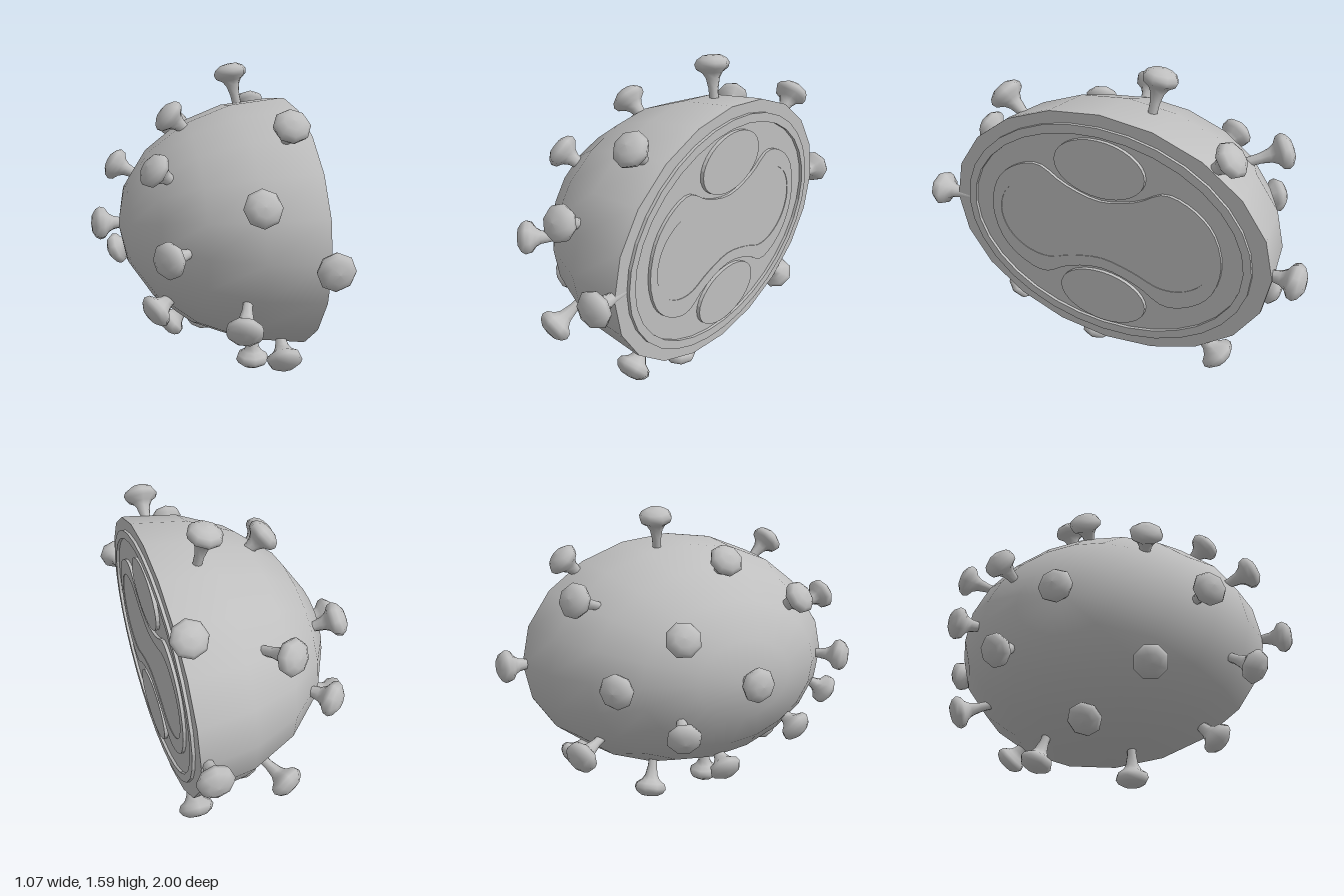
import * as THREE from 'three';

const CY = 0.8, CZ = -0.005, FACE = 0.445;

export function createModel() {
  const group = new THREE.Group();
  const grey = new THREE.MeshStandardMaterial({ color: 0xbfbfbf });
  grey.name = 'grey';
  const add = (geometry, name) => {
    const mesh = new THREE.Mesh(geometry, grey);
    mesh.name = name;
    group.add(mesh);
    return mesh;
  };

  // Half ellipsoid shell with its pole towards -x, closed by a thin rim plate
  const shell = new THREE.SphereGeometry(1, 20, 5, 0, Math.PI * 2, 0, Math.PI / 2);
  shell.rotateZ(Math.PI / 2).scale(0.845, 0.63, 0.85).translate(FACE, CY, CZ);
  add(shell, 'shell');
  const rim = new THREE.CylinderGeometry(1, 1, 0.02, 20);
  rim.rotateZ(Math.PI / 2).scale(1, 0.63, 0.85).translate(FACE + 0.01, CY, CZ);
  add(rim, 'cutFace');

  // Raised plates on the cut face, drawn in (z, y) and extruded along x
  const plate = (shape, height, name, y = CY) => {
    const g = new THREE.ExtrudeGeometry(shape, { depth: height, bevelEnabled: false, curveSegments: 16 });
    g.rotateY(Math.PI / 2).translate(FACE + 0.02, y, 0);
    return add(g, name);
  };
  const ellipse = (rz, ry, n = 32) => Array.from({ length: n }, (_, i) => {
    const a = (i / n) * Math.PI * 2;
    return new THREE.Vector2(rz * Math.cos(a), ry * Math.sin(a));
  });
  // Mirrors a quarter outline into a smooth closed two-lobed loop
  const lobes = (quarter) => {
    const q = quarter.map(([z, y]) => new THREE.Vector2(z, y));
    const half = [...q, ...q.slice(0, -1).reverse().map((p) => new THREE.Vector2(-p.x, p.y))];
    const loop = [...half, ...half.slice(1, -1).reverse().map((p) => new THREE.Vector2(p.x, -p.y))];
    const curve = new THREE.CatmullRomCurve3(loop.map((p) => new THREE.Vector3(p.x, p.y, 0)), true);
    return curve.getPoints(64).slice(0, -1).map((p) => new THREE.Vector2(p.x, p.y));
  };
  const framed = (outer, inner) => {
    const s = new THREE.Shape(outer);
    s.holes.push(new THREE.Path(inner));
    return s;
  };

  plate(framed(ellipse(0.765, 0.57), ellipse(0.725, 0.525)), 0.015, 'membraneRing');
  const coreOuter = lobes([[0.62, 0], [0.575, 0.17], [0.47, 0.27], [0.335, 0.31], [0.19, 0.235], [0, 0.19]]);
  const coreInner = lobes([[0.57, 0], [0.53, 0.12], [0.43, 0.195], [0.31, 0.213], [0.17, 0.165], [0, 0.132]]);
  plate(framed(coreOuter, coreInner), 0.015, 'coreWall');
  plate(new THREE.Shape(coreInner), 0.012, 'core');
  for (const s of [1, -1]) plate(new THREE.Shape(ellipse(0.237, 0.148)), 0.018, 'lateralBody', CY + s * 0.36);

  // Mushroom-headed spikes: head centre, then outward direction
  const profile = [[0.022, -0.22], [0.025, -0.12], [0.035, -0.07], [0.05, -0.045], [0.08, -0.025],
    [0.088, 0], [0.075, 0.022], [0.045, 0.04], [0, 0.045]];
  const spikeGeo = new THREE.LatheGeometry(profile.map(([r, y]) => new THREE.Vector2(r, y)), 8);
  const spikes = [
    [0.22, 1.55, -0.19, -0.03, 0.14, -0.02],
    [-0.14, 1.355, 0.02, -0.11, 0.09, 0],
    [0.34, 1.375, 0.58, 0, 0.1, 0.11],
    [0.43, 1.335, -0.625, 0, 0.1, -0.11],
    [-0.26, 1.155, 0.385, -0.09, 0.065, 0.035],
    [-0.385, 1.045, -0.355, -0.095, 0.045, -0.035],
    [-0.495, 0.805, -0.01, -1, 0, 0],
    [-0.235, 0.805, 0.68, -0.1, 0, 0.085],
    [0.15, 1.065, 0.835, 0, 0.04, 0.1],
    [0.445, 0.805, 0.955, 0, 0, 1],
    [0.43, 0.805, -0.955, 0, 0, -1],
    [0.08, 0.505, 0.83, -0.03, -0.06, 0.09],
    [-0.26, 0.455, 0.385, -0.09, -0.06, 0.035],
    [-0.385, 0.56, -0.355, -0.095, -0.045, -0.035],
    [-0.14, 0.25, 0.02, -0.11, -0.09, 0],
    [0.34, 0.24, 0.58, 0, -0.1, 0.11],
    [0.085, 0.125, -0.315, -0.03, -0.11, -0.03],
    [0.29, 0.055, 0.135, 0, -1, 0],
    [0.43, 0.255, -0.61, 0, -0.1, -0.11],
    [0, 1.2, -0.73, -0.06, 0.04, -0.11],
    [0, 0.41, -0.73, -0.06, -0.04, -0.11],
    [-0.255, 0.805, -0.64, -0.08, 0, -0.09],
  ];
  const up = new THREE.Vector3(0, 1, 0);
  for (const [x, y, z, dx, dy, dz] of spikes) {
    const spike = add(spikeGeo, 'spike');
    spike.position.set(x, y, z);
    spike.quaternion.setFromUnitVectors(up, new THREE.Vector3(dx, dy, dz).normalize());
  }
  return group;
}
